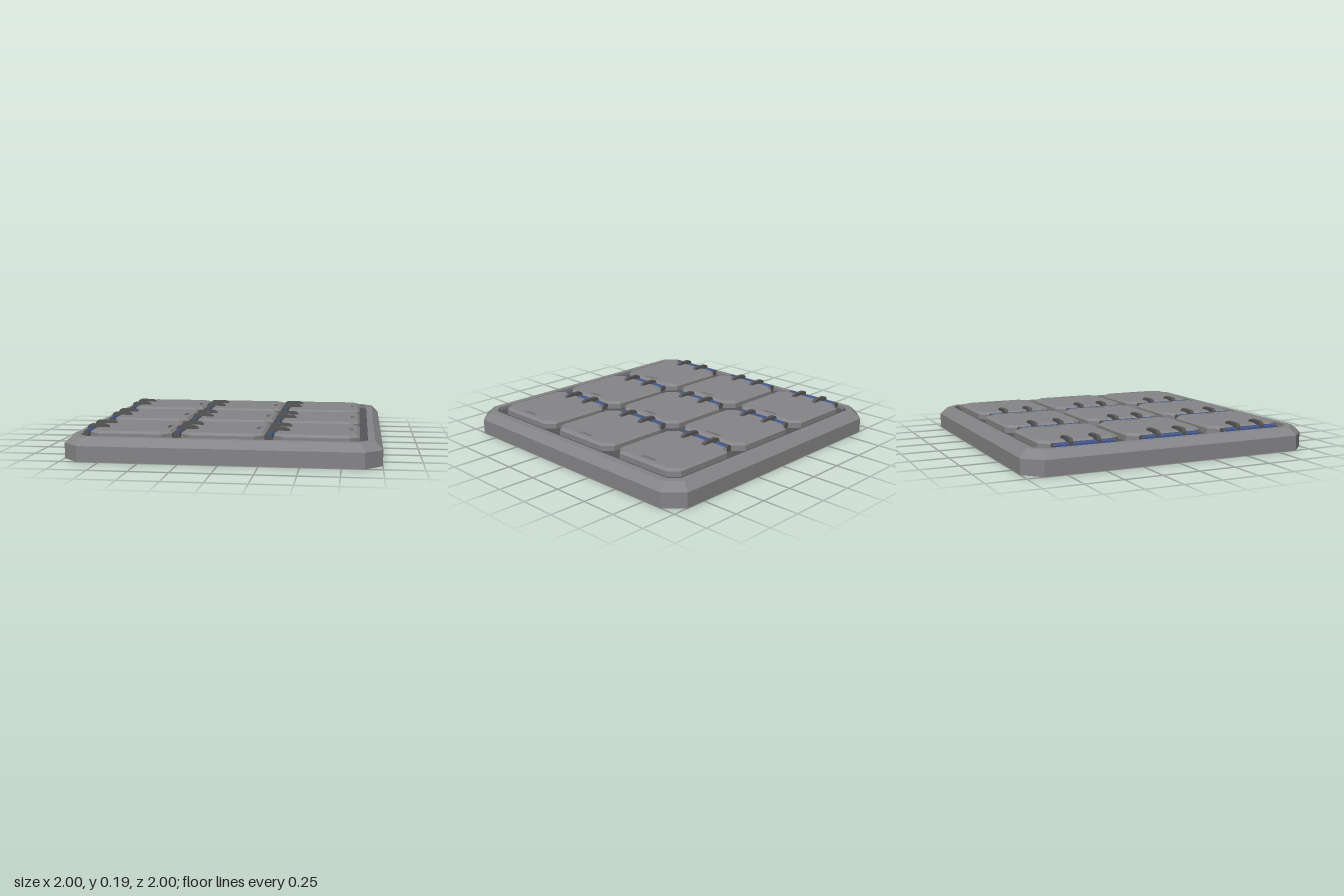
import * as THREE from 'three';

const material = (name, color) => {
  const m = new THREE.MeshStandardMaterial({ color });
  m.name = name;
  return m;
};

// Corners of a rectangle with cut corners, counter-clockwise in plan
const octagon = (hx, hz, c) => [
  [hx, hz - c], [hx - c, hz], [c - hx, hz], [-hx, hz - c],
  [-hx, c - hz], [c - hx, -hz], [hx - c, -hz], [hx, c - hz],
].map(([x, y]) => new THREE.Vector2(x, y));

// Flat-sided walls through a list of [halfX, halfZ, cornerCut, y] rings
function loft(rings) {
  const loops = rings.map(([hx, hz, c, y]) =>
    octagon(hx, hz, c).map((p) => [p.x, y, -p.y]));
  const pos = [];
  for (let r = 0; r < loops.length - 1; r++) {
    for (let i = 0; i < 8; i++) {
      const j = (i + 1) % 8;
      const a = loops[r][i], b = loops[r][j];
      const d = loops[r + 1][i], e = loops[r + 1][j];
      pos.push(...a, ...b, ...e, ...a, ...e, ...d);
    }
  }
  const g = new THREE.BufferGeometry();
  g.setAttribute('position', new THREE.Float32BufferAttribute(pos, 3));
  g.computeVertexNormals();
  return g;
}

// Horizontal face with an optional hole
function cap([hx, hz, c, y], hole, down = false) {
  const shape = new THREE.Shape(octagon(hx, hz, c));
  if (hole) shape.holes.push(new THREE.Path(octagon(hole[0], hole[1], hole[2])));
  return new THREE.ShapeGeometry(shape)
    .rotateX(down ? Math.PI / 2 : -Math.PI / 2)
    .translate(0, y, 0);
}

export function createModel() {
  const grey = material('panelGrey', 0x858587);
  const dark = material('darkGrey', 0x565658);
  const blue = material('hingeBlue', 0x40548a);

  const root = new THREE.Group();
  root.name = 'panelledTile';
  const add = (parent, name, geometry, mat, x = 0, y = 0, z = 0) => {
    const mesh = new THREE.Mesh(geometry, mat);
    mesh.name = name;
    mesh.position.set(x, y, z);
    parent.add(mesh);
  };

  // Bevelled tray with a raised rim around a dark recessed floor
  const FLOOR = 0.125;
  const bottom = [1, 1, 0.11, 0];
  const rimInner = [0.907, 0.907, 0.06, 0.15];
  const floor = [0.907, 0.907, 0.06, FLOOR];
  add(root, 'trayFrame', loft([
    bottom, [1, 1, 0.11, 0.1], [0.95, 0.95, 0.085, 0.15], rimInner, floor,
  ]), grey);
  add(root, 'trayUnderside', cap(bottom, null, true), grey);
  add(root, 'trayFloor', cap(floor), dark);

  // Panel shell, its top and the shallow finger slot
  const topRing = [0.247, 0.247, 0.05, 0.175];
  const slotTop = [0.014, 0.06, 0.012, 0.175];
  const slotBottom = [0.014, 0.06, 0.012, 0.16];
  const SLOT_X = 0.215;
  const shell = loft([
    [0.267, 0.267, 0.06, FLOOR], [0.267, 0.267, 0.06, 0.16], topRing,
  ]);
  const topShape = new THREE.Shape(octagon(...topRing.slice(0, 3)));
  topShape.holes.push(new THREE.Path(octagon(...slotTop.slice(0, 3))
    .map((p) => new THREE.Vector2(p.x + SLOT_X, p.y))));
  const panelTop = new THREE.ShapeGeometry(topShape)
    .rotateX(-Math.PI / 2).translate(0, 0.175, 0);
  const slotWall = loft([slotTop, slotBottom]);
  const slotFloor = cap(slotBottom);

  // Faceted hinge rod lying along z, with end caps
  const rod = (radius, length) => new THREE.CylinderGeometry(radius, radius, length, 8)
    .rotateY(Math.PI / 8).rotateX(Math.PI / 2).toNonIndexed();
  const hingeRod = rod(0.021, 0.39);
  const rodCap = rod(0.022, 0.012);
  [hingeRod, rodCap].forEach((g) => g.computeVertexNormals());

  // Hinge strap hooked over the rod and resting on the panel
  const strapShape = new THREE.Shape([
    [-0.317, FLOOR], [-0.268, FLOOR], [-0.268, 0.17], [-0.172, 0.17],
    [-0.172, 0.176], [-0.18, 0.187], [-0.198, 0.195],
    [-0.292, 0.195], [-0.309, 0.188], [-0.317, 0.174],
  ].map(([x, y]) => new THREE.Vector2(x, y)));
  const strap = new THREE.ExtrudeGeometry(strapShape, { depth: 0.026, bevelEnabled: false })
    .translate(0, 0, -0.013);

  // Three by three grid of hinged panels
  for (const row of [-1, 0, 1]) {
    for (const col of [-1, 0, 1]) {
      const unit = new THREE.Group();
      unit.name = 'hingedPanel';
      unit.position.set(col * 0.59, 0, row * 0.59);
      root.add(unit);
      add(unit, 'panelSides', shell, grey);
      add(unit, 'panelTop', panelTop, grey);
      add(unit, 'slotWall', slotWall, grey, SLOT_X);
      add(unit, 'slotFloor', slotFloor, grey, SLOT_X);
      add(unit, 'hingeRod', hingeRod, blue, -0.294, 0.15);
      for (const s of [-1, 1]) {
        add(unit, 'hingeRodCap', rodCap, dark, -0.294, 0.15, s * 0.201);
        add(unit, 'hingeStrap', strap, dark, 0, 0, s * 0.092);
      }
    }
  }
  return root;
}
